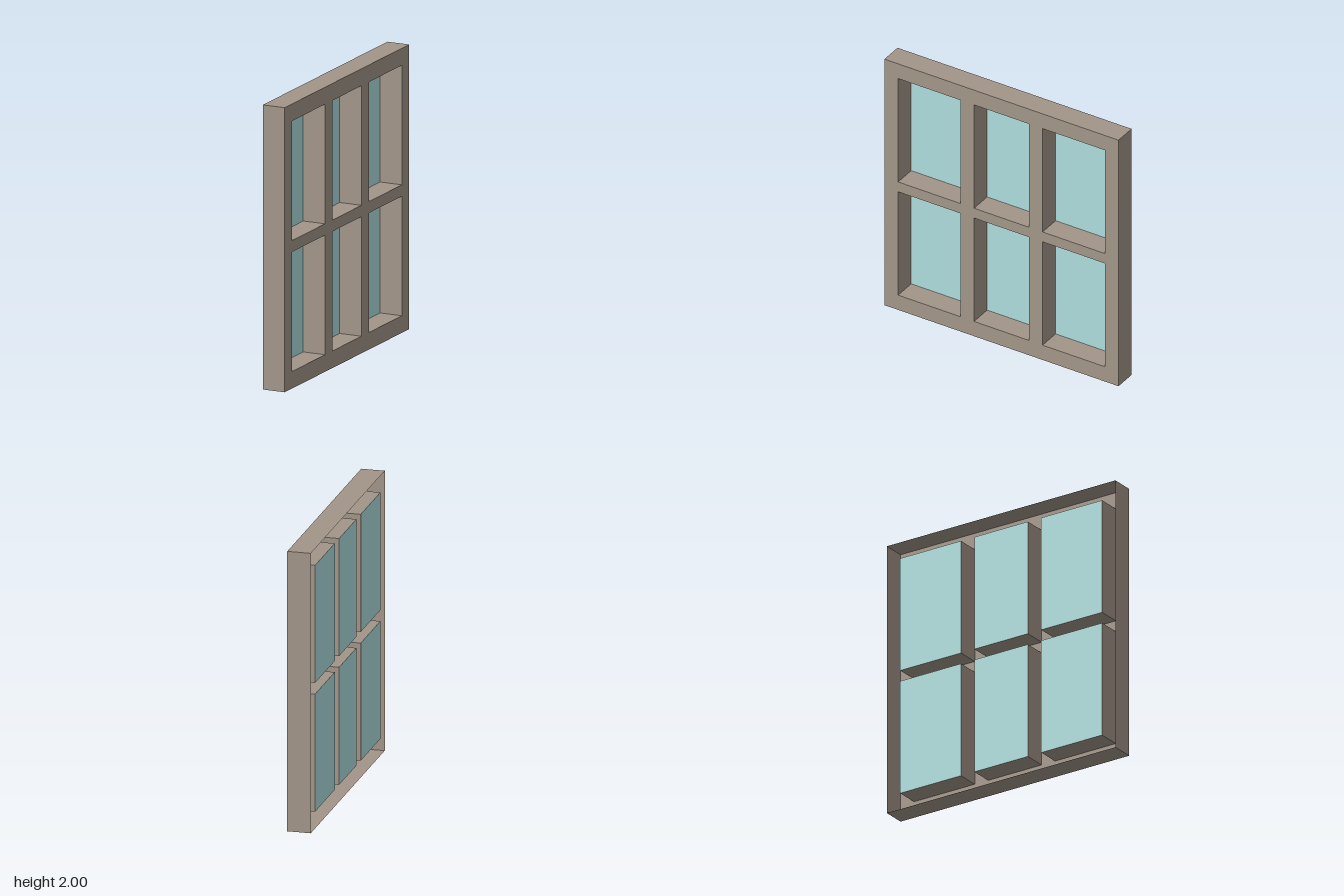
import * as THREE from 'three';
import { mergeGeometries } from 'three/addons/utils/BufferGeometryUtils.js';

const DEPTH = 0.166, WIDTH = 1.88, HEIGHT = 2;

// Open-ended rectangular sleeve of four thin walls, running along z
function sleeve(w, h, inward) {
  const flip = inward ? Math.PI : 0;
  const walls = [];
  for (const s of [-1, 1]) {
    walls.push(new THREE.PlaneGeometry(DEPTH, h).rotateY(s * Math.PI / 2 + flip).translate(s * w / 2, 0, 0));
    walls.push(new THREE.PlaneGeometry(w, DEPTH).rotateX(-s * Math.PI / 2 + flip).translate(0, s * h / 2, 0));
  }
  return mergeGeometries(walls);
}

// Adds a rectangle centred on (x, y) to a shape or path
function rect(path, x, y, w, h) {
  path.moveTo(x - w / 2, y - h / 2);
  path.lineTo(x + w / 2, y - h / 2);
  path.lineTo(x + w / 2, y + h / 2);
  path.lineTo(x - w / 2, y + h / 2);
  path.closePath();
  return path;
}

export function createModel() {
  const model = new THREE.Group();
  model.name = 'window';
  const frameMat = new THREE.MeshStandardMaterial({ color: 0xa29588, side: THREE.DoubleSide });
  const glassMat = new THREE.MeshStandardMaterial({ color: 0xaedcdc, side: THREE.DoubleSide });

  const add = (name, geometry, material, x, y, z) => {
    const mesh = new THREE.Mesh(geometry, material);
    mesh.name = name;
    mesh.position.set(x, y, z);
    model.add(mesh);
  };

  // Outer rim, open at the back
  add('outerRim', sleeve(WIDTH, HEIGHT, false), frameMat, 0, HEIGHT / 2, 0);

  // Six panes: three columns by two rows, each a deep reveal with glass at its back
  const columns = [{ x: -0.58, w: 0.5 }, { x: 0, w: 0.44 }, { x: 0.58, w: 0.5 }];
  const paneHeight = 0.84;
  const plate = rect(new THREE.Shape(), 0, HEIGHT / 2, WIDTH, HEIGHT);
  for (const y of [0.54, 1.46]) {
    for (const { x, w } of columns) {
      plate.holes.push(rect(new THREE.Path(), x, y, w, paneHeight));
      add('paneReveal', sleeve(w, paneHeight, true), frameMat, x, y, 0);
      add('glassPane', new THREE.PlaneGeometry(w, paneHeight), glassMat, x, y, -DEPTH / 2);
    }
  }

  // Face plate with the pane openings cut out
  add('facePlate', new THREE.ShapeGeometry(plate), frameMat, 0, 0, DEPTH / 2);

  // Turn the face plate towards +x
  model.rotation.y = Math.PI / 2;
  const root = new THREE.Group();
  root.name = 'windowRoot';
  root.add(model);
  return root;
}
